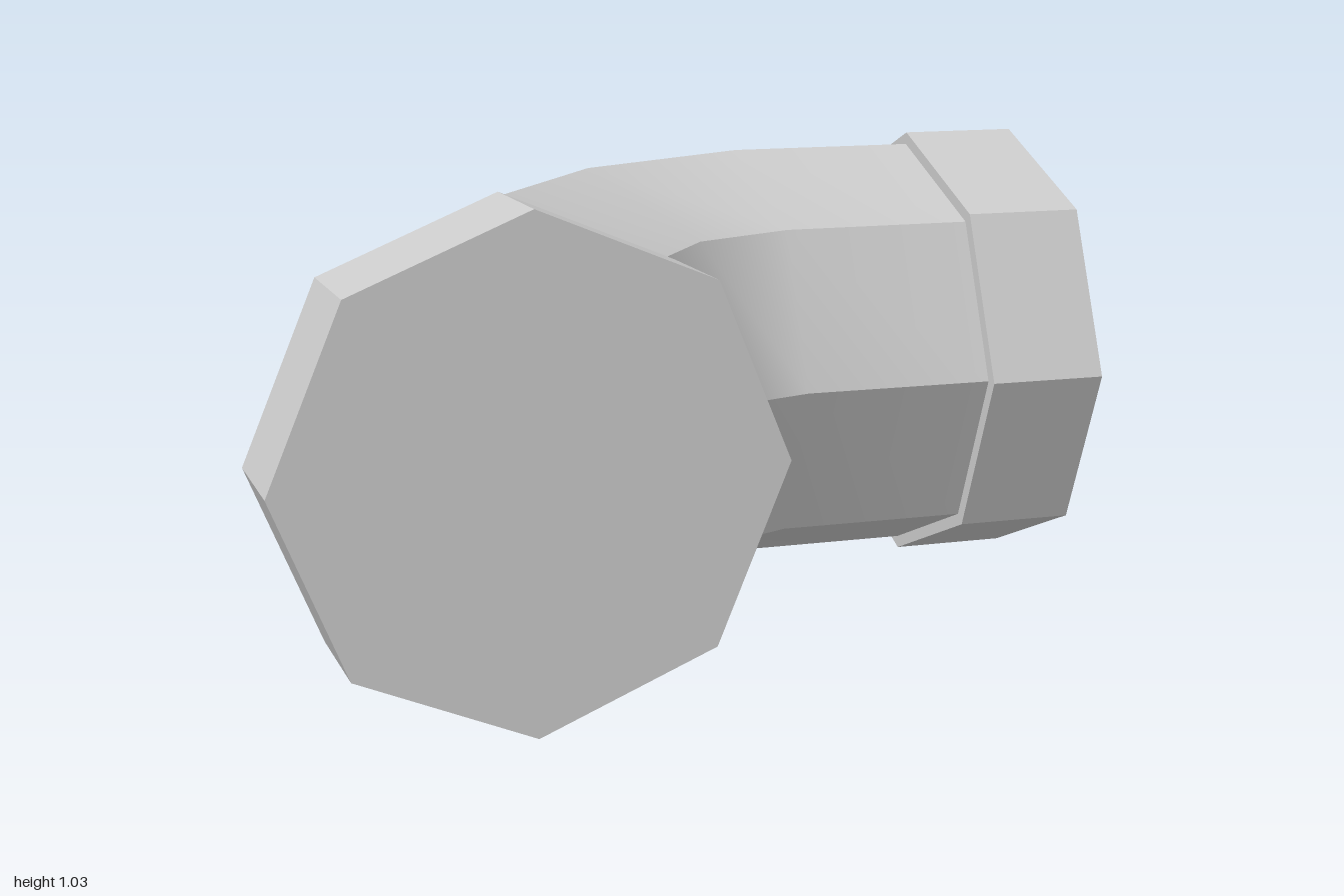
import * as THREE from 'three';

const SIDES = 8;
const MID_Y = 0.515;

// Plan positions [x, z] of each ring's outer and inner corner along the bend
const RINGS = [
  { outer: [-0.95, 0.52], inner: [0.0, 0.52] },
  { outer: [-0.94, 0.37], inner: [0.0, 0.44] },
  { outer: [-0.405, -0.335], inner: [0.13, 0.265] },
  { outer: [0.295, -0.765], inner: [0.295, 0.21] },
  { outer: [0.73, -0.765], inner: [0.73, 0.21] },
];

// Point on an octagonal ring; side 0 faces the inside of the bend
function ringPoint({ outer, inner }, side) {
  const t = (side / SIDES) * Math.PI * 2;
  const u = (1 + Math.cos(t)) / 2;
  return [
    THREE.MathUtils.lerp(outer[0], inner[0], u),
    MID_Y + 0.487 * Math.sin(t),
    THREE.MathUtils.lerp(outer[1], inner[1], u),
  ];
}

// Bent pipe: one strip per side, smooth along the bend and creased between sides
function bentPipeGeometry() {
  const positions = [];
  const indices = [];
  for (let side = 0; side < SIDES; side++) {
    const start = positions.length / 3;
    RINGS.forEach((ring, i) => {
      positions.push(...ringPoint(ring, side), ...ringPoint(ring, side + 1));
      if (i === 0) return;
      const a = start + (i - 1) * 2;
      indices.push(a, a + 2, a + 1, a + 1, a + 2, a + 3);
    });
  }
  const geometry = new THREE.BufferGeometry();
  geometry.setAttribute('position', new THREE.Float32BufferAttribute(positions, 3));
  geometry.setIndex(indices);
  geometry.computeVertexNormals();
  return geometry;
}

export function createModel() {
  const group = new THREE.Group();
  const smooth = new THREE.MeshStandardMaterial({ color: 0xcccccc });
  const flat = new THREE.MeshStandardMaterial({ color: 0xcccccc, flatShading: true });

  const pipe = new THREE.Mesh(bentPipeGeometry(), smooth);
  pipe.name = 'bentPipe';
  group.add(pipe);

  // Closed octagonal collars at both ends
  const collarGeometry = new THREE.CylinderGeometry(0.515, 0.515, 0.27, SIDES);

  const frontCollar = new THREE.Mesh(collarGeometry, flat);
  frontCollar.name = 'frontCollar';
  frontCollar.rotation.x = Math.PI / 2;
  frontCollar.position.set(-0.485, MID_Y, 0.655);
  group.add(frontCollar);

  const sideCollar = new THREE.Mesh(collarGeometry, flat);
  sideCollar.name = 'sideCollar';
  sideCollar.rotation.z = -Math.PI / 2;
  sideCollar.position.set(0.865, MID_Y, -0.275);
  group.add(sideCollar);

  return group;
}
